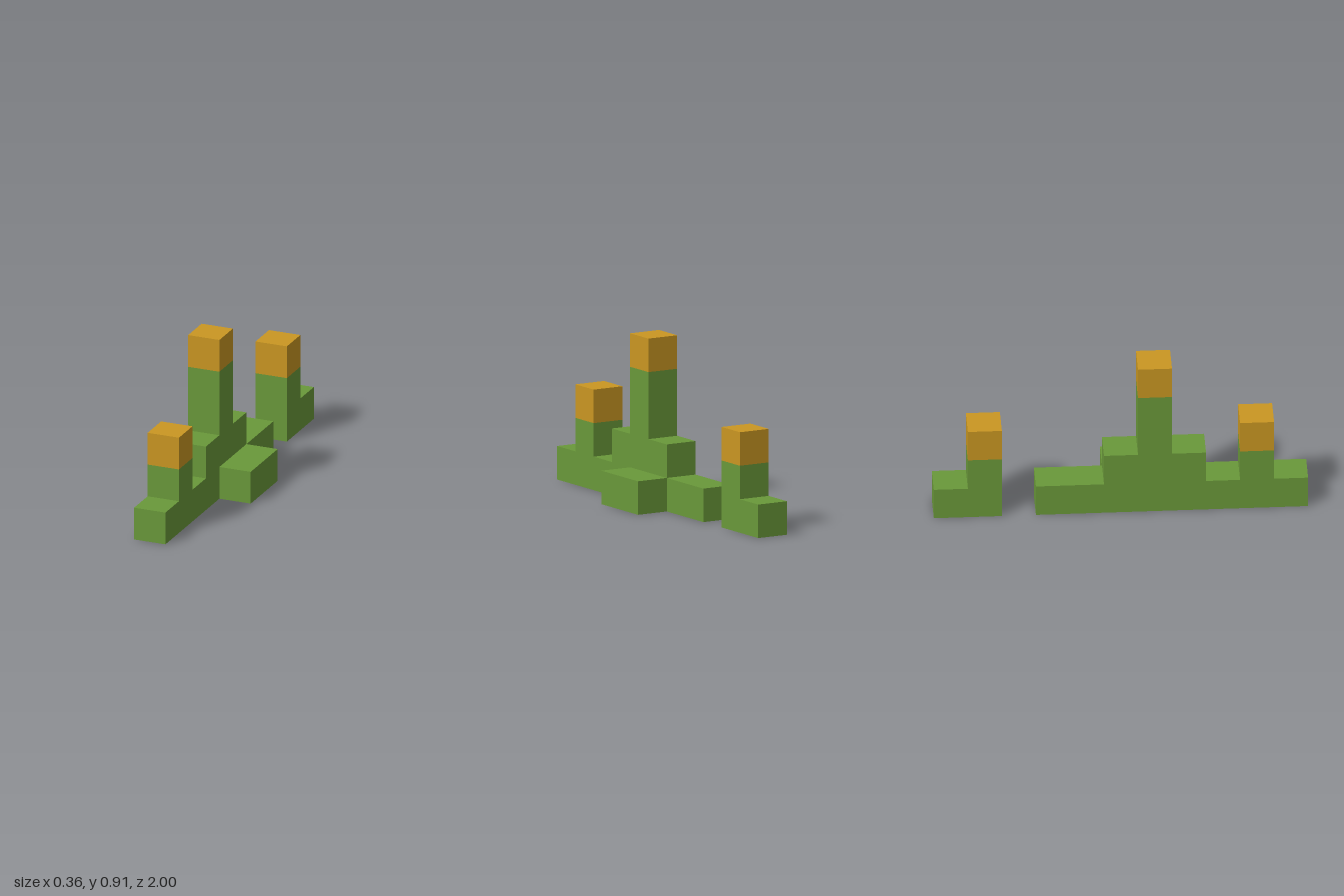
import * as THREE from 'three';

const U = 2 / 11; // one block

export function createModel() {
  const model = new THREE.Group();
  const green = new THREE.MeshStandardMaterial({ color: 0x6a993a });
  green.name = 'leaf green';
  const orange = new THREE.MeshStandardMaterial({ color: 0xca9722 });
  orange.name = 'amber';

  const add = (name, geometry, material) => {
    const mesh = new THREE.Mesh(geometry, material);
    mesh.name = name;
    model.add(mesh);
  };

  // Stepped wall: one column per block along z, given by its height in blocks
  const wall = (name, start, heights) => {
    const z = (i) => (start + i) * U - 1;
    const points = [new THREE.Vector2(z(0), 0)];
    heights.forEach((h, i) => {
      if (h !== heights[i - 1]) points.push(new THREE.Vector2(z(i), h * U));
      if (h !== heights[i + 1]) points.push(new THREE.Vector2(z(i + 1), h * U));
    });
    points.push(new THREE.Vector2(z(heights.length), 0));
    const geometry = new THREE.ExtrudeGeometry(new THREE.Shape(points), { depth: U, bevelEnabled: false });
    add(name, geometry.rotateY(-Math.PI / 2), green);
  };

  // Box measured in blocks from its lowest corner
  const block = (name, material, x, y, z, depth = 1) => {
    const geometry = new THREE.BoxGeometry(U, U, depth * U);
    geometry.translate((x + 0.5) * U, (y + 0.5) * U, (z + depth / 2) * U - 1);
    add(name, geometry, material);
  };

  wall('backWall', 0, [1, 2]);
  wall('mainWall', 3, [1, 1, 2, 4, 2, 1, 2, 1]);
  block('sideStep', green, 0, 0, 5, 2);

  // Coloured caps on the three towers
  block('backTowerCap', orange, -1, 2, 1);
  block('middleTowerCap', orange, -1, 4, 6);
  block('frontTowerCap', orange, -1, 2, 9);

  return model;
}
